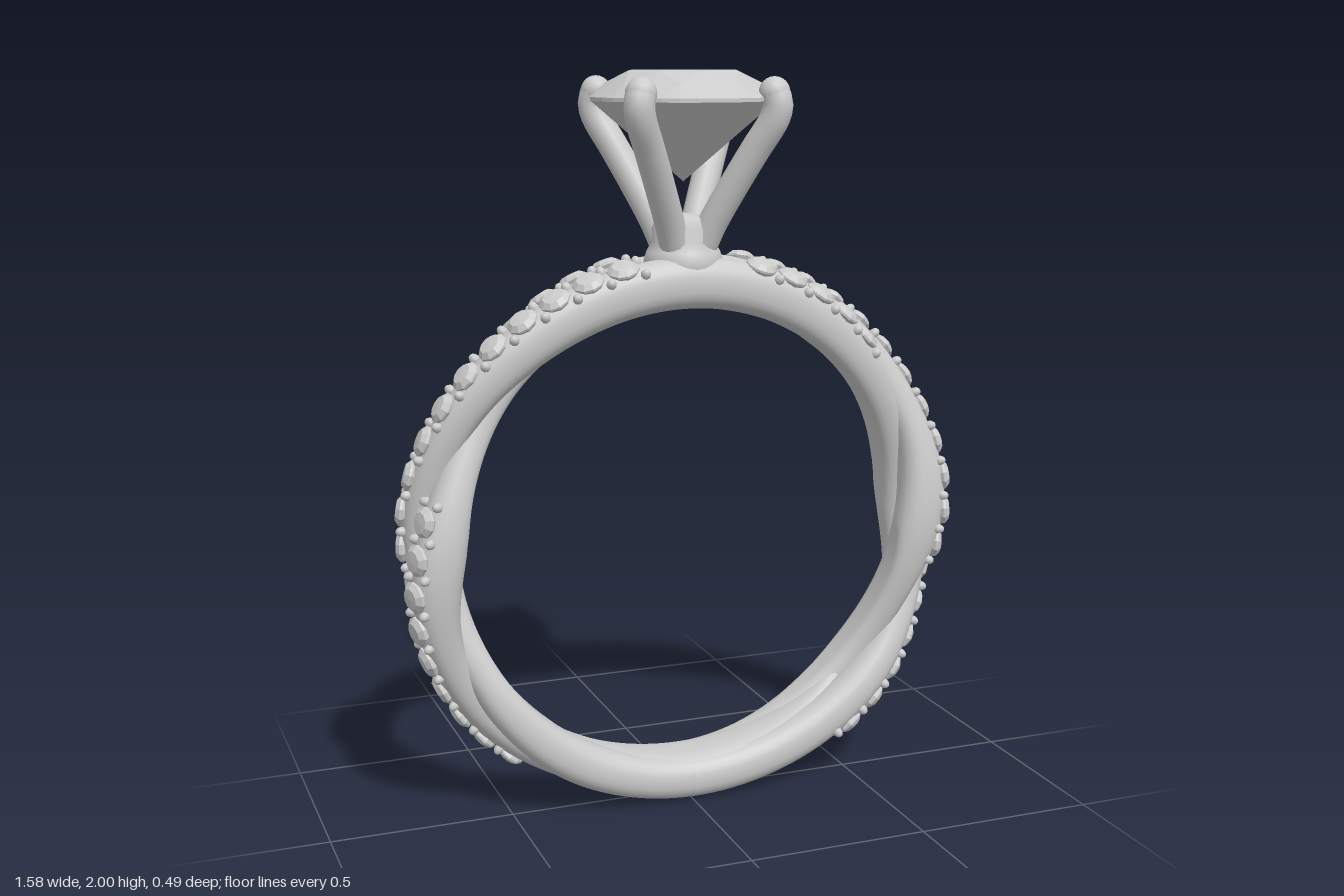
import * as THREE from 'three';
import { ConvexGeometry } from 'three/addons/geometries/ConvexGeometry.js';

const CY = 0.7525;      // height of the ring's centre
const INNER = 0.627;    // finger hole radius
const metal = new THREE.MeshStandardMaterial({ color: 0xcccccc });
const facet = new THREE.MeshStandardMaterial({ color: 0xcccccc, flatShading: true });
const rad = THREE.MathUtils.degToRad;

// Point at angle phi from the top, radius r, sideways offset z
const ringPoint = (phi, r, z) => new THREE.Vector3(r * Math.sin(phi), CY + r * Math.cos(phi), z);
const power = (v, e) => Math.sign(v) * Math.pow(Math.abs(v), e);

// Twist of a strand: slow at top and bottom, fast at the sides
const twist = (phi, start) => start - (2 * phi - 0.84 * Math.sin(2 * phi));

// Centre and half sizes of a strand's cross-section
function strandAt(phi, start) {
  const psi = twist(phi, start);
  const s = Math.sin(psi);
  const low = Math.max(0, -Math.cos(phi) - 0.6) / 0.4;
  return {
    s, c: Math.cos(psi),
    r: 0.697 + 0.03 * s - 0.004 * low,
    z: (0.055 - 0.012 * low) * Math.cos(psi),
    hr: 0.068 - 0.018 * s * s - 0.0095 * low,
    hz: 0.06,
  };
}

// Sweeps a rounded cross-section around the finger hole
function sweep(section, from, to, steps) {
  const sides = 24, pos = [], index = [];
  for (let i = 0; i <= steps; i++) {
    const phi = from + (to - from) * i / steps;
    const q = section(phi);
    for (let j = 0; j < sides; j++) {
      const t = j / sides * Math.PI * 2;
      const r = Math.max(INNER, q.r + q.hr * power(Math.cos(t), 0.85));
      pos.push(...ringPoint(phi, r, q.z + q.hz * power(Math.sin(t), 0.85)).toArray());
      if (i === steps) continue;
      const a = i * sides + j, b = i * sides + (j + 1) % sides;
      index.push(a, b, a + sides, b, b + sides, a + sides);
    }
  }
  const g = new THREE.BufferGeometry();
  g.setAttribute('position', new THREE.Float32BufferAttribute(pos, 3));
  g.setIndex(index);
  g.computeVertexNormals();
  return g;
}

function add(parent, name, geometry, material = metal) {
  const mesh = new THREE.Mesh(geometry, material);
  mesh.name = name;
  parent.add(mesh);
  return mesh;
}

// Small stones and the beads that hold them, along the outside of one strand
function addPave(parent, start) {
  const stoneGeo = new THREE.LatheGeometry([
    [0.03, -0.02], [0.043, -0.004], [0.043, 0.002], [0.029, 0.014], [0, 0.016],
  ].map(p => new THREE.Vector2(...p)), 10);
  const beadGeo = new THREE.SphereGeometry(0.014, 8, 6);
  const up = new THREE.Vector3(0, 1, 0);

  // Surface point and outward direction, shifted around the section by an angle
  const surface = (phi, shift, depth) => {
    const q = strandAt(phi, start);
    const a = 0.35 * q.c + shift;
    const n = new THREE.Vector3(Math.sin(phi) * Math.cos(a), Math.cos(phi) * Math.cos(a), Math.sin(a));
    const p = ringPoint(phi, q.r + (q.hr + depth) * Math.cos(a), q.z + (q.hz + depth) * Math.sin(a));
    return { p, n };
  };
  const isSet = deg => {
    const d = Math.abs(deg), s = strandAt(rad(deg), start).s;
    return d > 14 && d < 147 && s > (d > 114 ? 0 : -0.7);
  };

  const step = 7.4;
  for (let k = -20; k <= 20; k++) {
    const deg = k * step;
    if (!isSet(deg)) continue;
    const { p, n } = surface(rad(deg), 0, 0.003);
    const stone = add(parent, 'accentStone', stoneGeo, facet);
    stone.position.copy(p);
    stone.quaternion.setFromUnitVectors(up, n);
    for (const side of [-1, 1]) {
      const b = surface(rad(deg + step / 2), side * 0.55, 0.004);
      const bead = add(parent, 'bead', beadGeo);
      bead.position.copy(b.p);
      bead.quaternion.setFromUnitVectors(up, b.n);
      bead.scale.set(1, 1.3, 1);
    }
  }
}

// Round brilliant: table, crown, girdle, pavilion and culet
function brilliant() {
  const pts = [];
  const circle = (n, r, y, turn = 0) => {
    for (let i = 0; i < n; i++) {
      const a = (i + turn) / n * Math.PI * 2;
      pts.push(new THREE.Vector3(r * Math.sin(a), y, r * Math.cos(a)));
    }
  };
  circle(8, 0.15, 2.0);
  circle(8, 0.205, 1.968, 0.5);
  circle(32, 0.244, 1.932);
  circle(32, 0.244, 1.922);
  circle(8, 0.07, 1.777, 0.5);
  pts.push(new THREE.Vector3(0, 1.712, 0));
  return new ConvexGeometry(pts);
}

export function createModel() {
  const ring = new THREE.Group();
  ring.name = 'ring';

  // Band: two strands twisted around each other, each set with stones
  const band = new THREE.Group();
  band.name = 'band';
  ring.add(band);
  for (const [name, start] of [['firstStrand', 0], ['secondStrand', Math.PI]]) {
    add(band, name, sweep(phi => strandAt(phi, start), -Math.PI, Math.PI, 240));
    addPave(band, start);
  }

  // Smooth base where the strands merge
  add(band, 'baseShank', sweep(phi => {
    const t = Math.abs(phi - Math.PI) / rad(48);
    return { r: 0.688, z: 0, hr: 0.0645 - 0.02 * t * t, hz: 0.1 - 0.085 * t * t };
  }, rad(132), rad(228), 60));

  // Setting: flared collar with four prongs
  const head = new THREE.Group();
  head.name = 'setting';
  ring.add(head);
  const collar = [[0, 1.42], [0.1, 1.42], [0.108, 1.5], [0.098, 1.53], [0.083, 1.555],
    [0.085, 1.59], [0.07, 1.62], [0, 1.63]].map(p => new THREE.Vector2(...p));
  add(head, 'collar', new THREE.LatheGeometry(collar, 32));
  const path = [[0.035, 1.53], [0.058, 1.6], [0.1, 1.7], [0.145, 1.8], [0.182, 1.88], [0.188, 1.915], [0.181, 1.945]];
  for (const sx of [-1, 1]) for (const sz of [-1, 1]) {
    const curve = new THREE.CatmullRomCurve3(path.map(([d, y]) => new THREE.Vector3(sx * d, y, sz * d)));
    add(head, 'prong', new THREE.TubeGeometry(curve, 28, 0.04, 14));
    add(head, 'prongTip', new THREE.SphereGeometry(0.0405, 16, 12)).position.set(sx * 0.181, 1.945, sz * 0.181);
  }

  add(ring, 'centreStone', brilliant(), facet);
  return ring;
}
